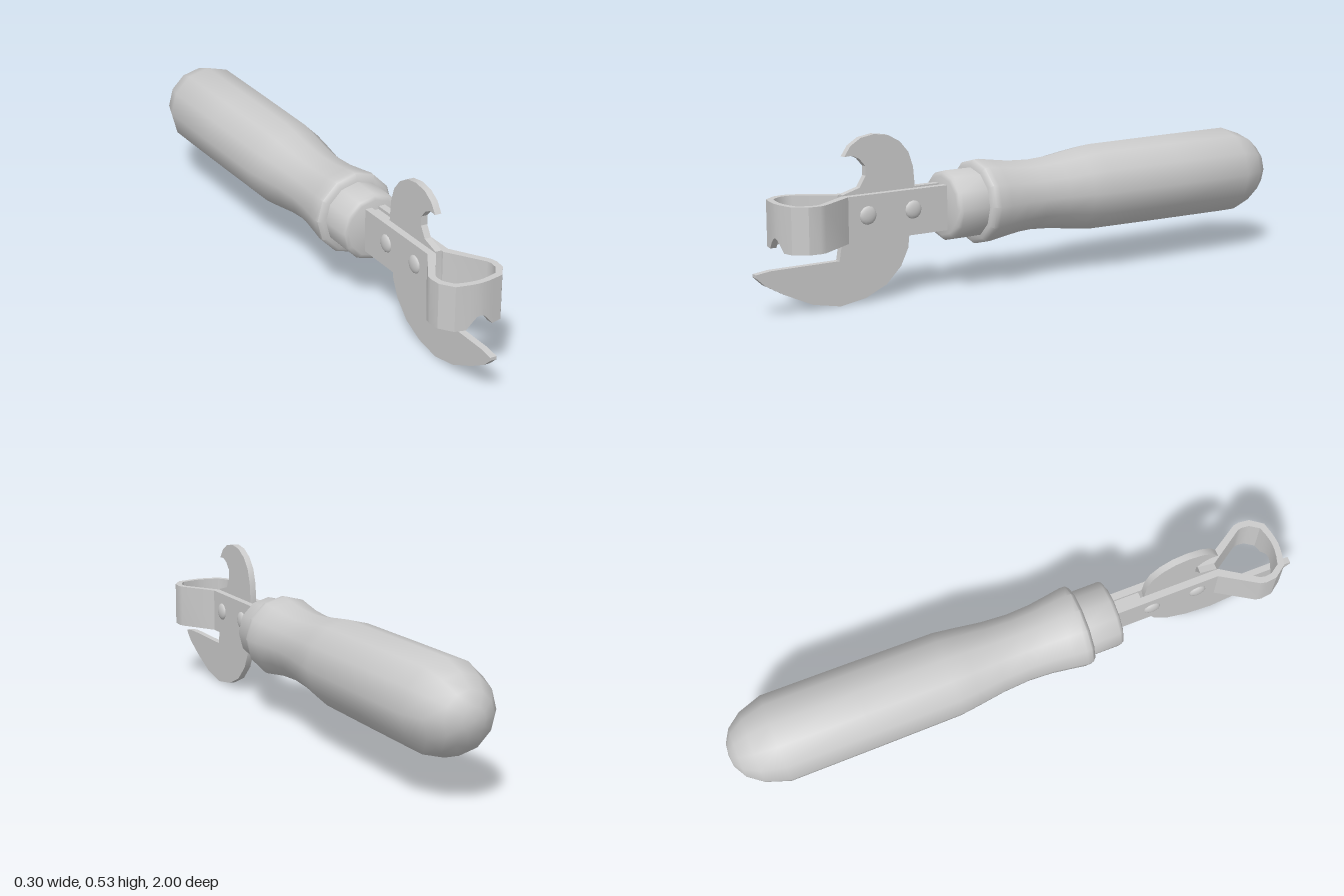
import * as THREE from 'three';
import { toCreasedNormals } from 'three/addons/utils/BufferGeometryUtils.js';

const AXIS_Y = 0.273;
const material = new THREE.MeshStandardMaterial({ color: 0xcccccc });

function addMesh(parent, name, geometry, crease) {
  const mesh = new THREE.Mesh(crease ? toCreasedNormals(geometry, crease) : geometry, material);
  mesh.name = name;
  parent.add(mesh);
  return mesh;
}

// Twelve-sided turned part lying along z; profile is [z, radius] from back to front
function turned(profile) {
  const points = profile.map(([z, r]) => new THREE.Vector2(r, z));
  return new THREE.LatheGeometry(points, 12).rotateX(Math.PI / 2).translate(0, AXIS_Y, 0);
}

// Flat plate in the z-y plane, centred on x = 0
function plate(outline, thickness) {
  const shape = new THREE.Shape(outline.map(([z, y]) => new THREE.Vector2(z, y)));
  return new THREE.ExtrudeGeometry(shape, { depth: thickness, bevelEnabled: false })
    .translate(0, 0, -thickness / 2)
    .rotateY(-Math.PI / 2);
}

// Bent strip; each station is [outer x, outer z, inner x, inner z, bottom y]
function strip(half, top) {
  const mirrored = half.slice(0, -1).reverse().map(([ox, oz, ix, iz, b]) => [-ox, oz, -ix, iz, b]);
  const stations = [...half, ...mirrored];
  const positions = [];
  const index = [];
  stations.forEach(([ox, oz, ix, iz, b], i) => {
    positions.push(ox, b, oz, ox, top, oz, ix, top, iz, ix, b, iz);
    if (i === 0) return;
    const p = (i - 1) * 4, q = i * 4;
    for (let k = 0; k < 4; k++) {
      const n = (k + 1) % 4;
      index.push(p + k, p + n, q + n, p + k, q + n, q + k);
    }
  });
  const geometry = new THREE.BufferGeometry();
  geometry.setAttribute('position', new THREE.Float32BufferAttribute(positions, 3));
  geometry.setIndex(index);
  return geometry;
}

export function createModel() {
  const model = new THREE.Group();
  model.name = 'canOpener';

  // Wooden grip with a rounded end and a narrowed waist
  addMesh(model, 'handle', turned([
    [-1, 0], [-0.995, 0.04], [-0.97, 0.085], [-0.92, 0.123], [-0.84, 0.15],
    [-0.55, 0.148], [-0.25, 0.145], [-0.18, 0.136], [-0.09, 0.123], [0, 0.117],
    [0.08, 0.121], [0.15, 0.131], [0.195, 0.138], [0.213, 0.137], [0.224, 0.126], [0.226, 0.1],
  ]), 0.75);

  // Ferrule collar
  addMesh(model, 'ferrule', turned([
    [0.2, 0.113], [0.322, 0.113], [0.332, 0.107], [0.337, 0.095], [0.337, 0],
  ]), 0.75);

  // Cutting blade with the bottle hook above
  addMesh(model, 'blade', plate([
    [1, 0.128], [1, 0.138], [0.95, 0.144], [0.715, 0.144], [0.705, 0.2], [0.7, 0.348],
    [0.64, 0.365], [0.618, 0.4], [0.618, 0.43], [0.64, 0.455], [0.665, 0.467], [0.692, 0.465],
    [0.67, 0.497], [0.634, 0.519], [0.586, 0.527], [0.537, 0.52], [0.495, 0.497],
    [0.463, 0.46], [0.447, 0.412], [0.441, 0.345], [0.463, 0.2], [0.468, 0.155],
    [0.495, 0.1], [0.548, 0.048], [0.623, 0.015], [0.714, 0.001], [0.81, 0.02],
    [0.906, 0.064], [0.97, 0.1],
  ], 0.022), 0.5);

  // Strip clamping the blade, looped at the front, with an arched notch in its lower edge
  const low = 0.2;
  addMesh(model, 'guideLoop', strip([
    [0.036, 0.3, 0.012, 0.3, low],
    [0.036, 0.695, 0.012, 0.705, low],
    [0.111, 0.815, 0.09, 0.822, low],
    [0.115, 0.835, 0.094, 0.838, low],
    [0.111, 0.872, 0.091, 0.863, low],
    [0.08, 0.914, 0.07, 0.894, low],
    [0.045, 0.922, 0.043, 0.902, low],
    [0.024, 0.926, 0.023, 0.906, 0.225],
    [0.012, 0.927, 0.012, 0.907, 0.236],
    [0, 0.928, 0, 0.908, 0.24],
  ], 0.345), 0.5);

  // Tang between the two arms, running into the ferrule
  const tang = new THREE.BoxGeometry(0.024, 0.125, 0.13);
  addMesh(model, 'tang', tang.translate(0, 0.2725, 0.365));

  // Domed rivet heads on both sides
  for (const z of [0.463, 0.626]) {
    for (const side of [1, -1]) {
      const dome = new THREE.SphereGeometry(0.03, 12, 5, 0, Math.PI * 2, 0, Math.PI / 2).scale(1, 0.4, 1);
      const rivet = addMesh(model, side > 0 ? 'leftRivet' : 'rightRivet', dome);
      rivet.rotation.z = -side * Math.PI / 2;
      rivet.position.set(side * 0.035, 0.281, z);
    }
  }

  return model;
}
